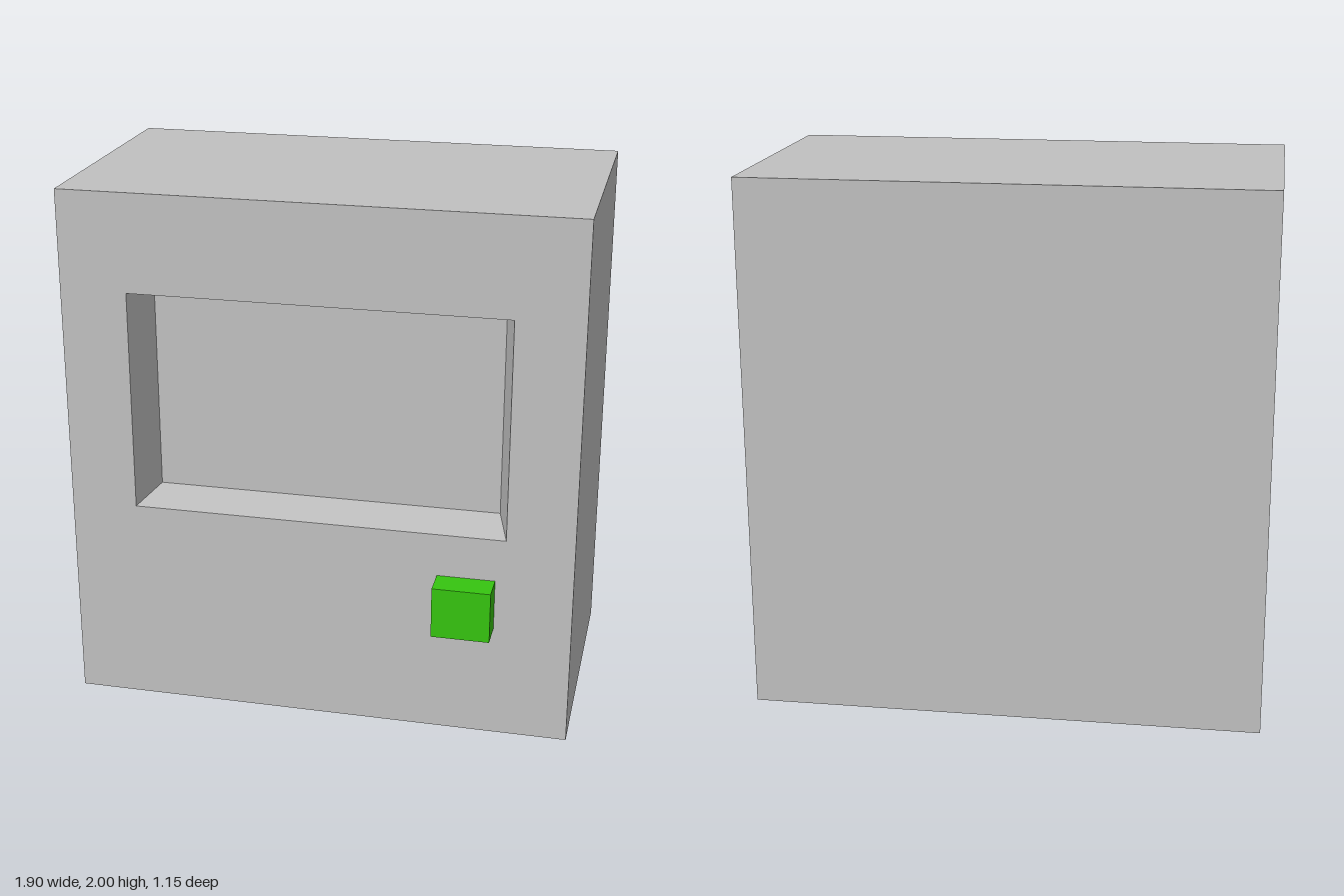
import * as THREE from 'three';

const W = 1.9, H = 2, FRONT = 0.465, BACK = -0.575;
const OPENING = { x0: -0.7, x1: 0.7, y0: 0.795, y1: 1.63 };
const PANEL = { x0: -0.655, x1: 0.652, y0: 0.82, y1: 1.605 };
const RECESS_DEPTH = 0.18;

// Box without its +z face
function openBox(w, h, d) {
  const geo = new THREE.BoxGeometry(w, h, d);
  const index = Array.from(geo.index.array);
  index.splice(24, 6);
  geo.setIndex(index);
  geo.clearGroups();
  return geo;
}

function rectPoints({ x0, x1, y0, y1 }) {
  return [[x0, y0], [x1, y0], [x1, y1], [x0, y1]].map(([x, y]) => new THREE.Vector2(x, y));
}

// Inward-facing tapered pocket leading back to the flat panel
function recessGeometry() {
  const geo = openBox(1, 1, 1);
  const pos = geo.attributes.position;
  for (let i = 0; i < pos.count; i++) {
    const atFront = pos.getZ(i) > 0;
    const r = atFront ? OPENING : PANEL;
    pos.setXYZ(i,
      pos.getX(i) > 0 ? r.x1 : r.x0,
      pos.getY(i) > 0 ? r.y1 : r.y0,
      atFront ? FRONT : FRONT - RECESS_DEPTH);
  }
  geo.setIndex(Array.from(geo.index.array).reverse());
  geo.computeVertexNormals();
  return geo;
}

export function createModel() {
  const model = new THREE.Group();
  model.name = 'cabinet';
  const casing = new THREE.MeshStandardMaterial({ color: 0xc0c0c0 });
  casing.name = 'light grey';
  const green = new THREE.MeshStandardMaterial({ color: 0x36c410 });
  green.name = 'green';

  const add = (name, geo, mat) => {
    const mesh = new THREE.Mesh(geo, mat);
    mesh.name = name;
    model.add(mesh);
    return mesh;
  };

  // Casing: sides, top, bottom and back
  add('casing', openBox(W, H, FRONT - BACK), casing)
    .position.set(0, H / 2, (FRONT + BACK) / 2);

  // Front face with the screen opening
  const face = new THREE.Shape(rectPoints({ x0: -W / 2, x1: W / 2, y0: 0, y1: H }));
  face.holes.push(new THREE.Path(rectPoints(OPENING)));
  add('frontFace', new THREE.ShapeGeometry(face), casing).position.z = FRONT;

  // Sunken screen
  add('screenRecess', recessGeometry(), casing);

  // Button block
  add('button', new THREE.BoxGeometry(0.215, 0.195, 0.11), green)
    .position.set(0.557, 0.533, FRONT + 0.055);

  return model;
}
